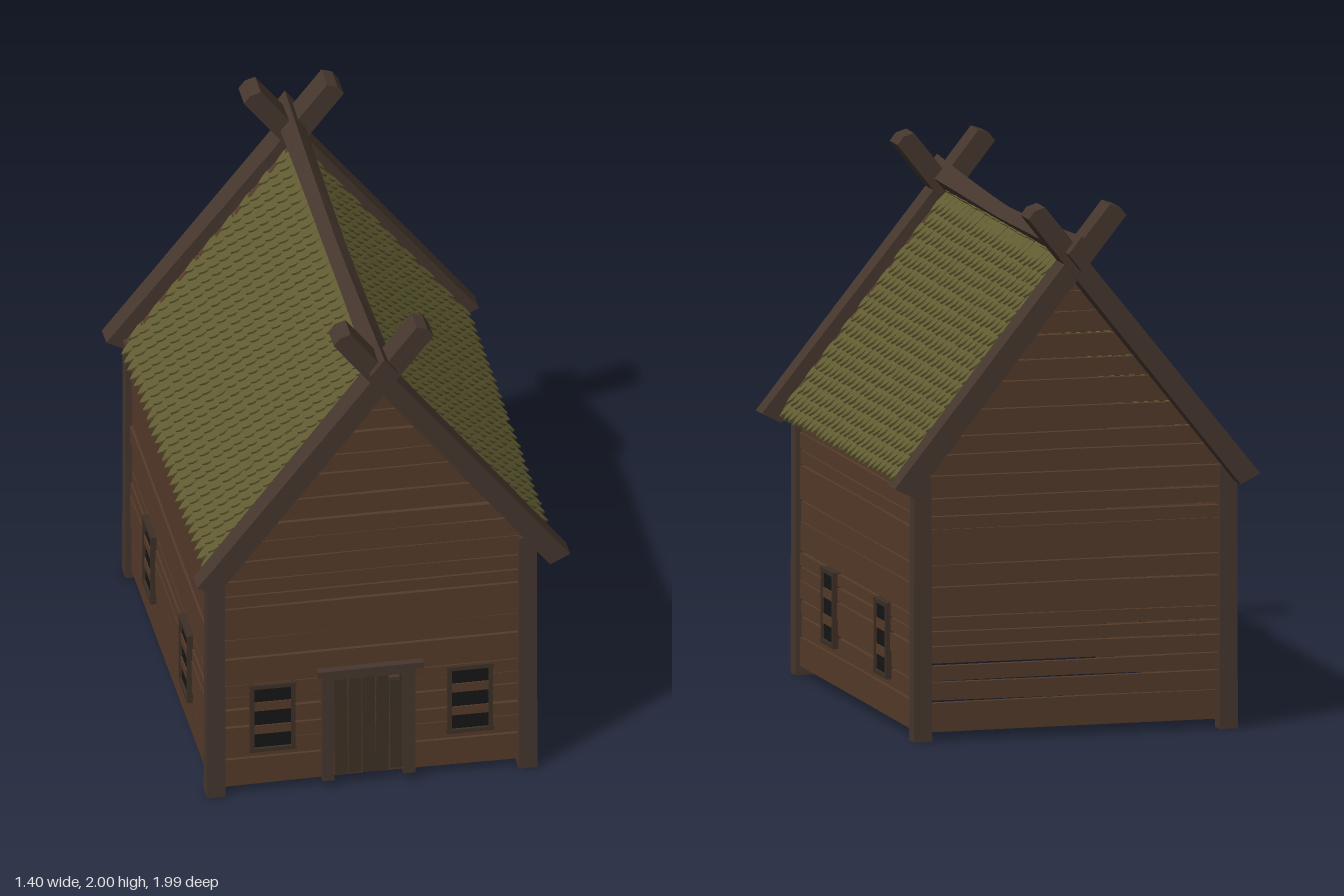
import * as THREE from 'three';
import { mergeGeometries } from 'three/addons/utils/BufferGeometryUtils.js';

const mat = (color) => new THREE.MeshStandardMaterial({ color, flatShading: true, roughness: 1 });
const PLANK = mat(0x553b2a), BEAM = mat(0x46372e), FRAME = mat(0x3d3026), DARK = mat(0x161616), MOSS = mat(0x625c32);

let seed = 7;
const rnd = (a = 1) => {
  seed = (seed * 16807) % 2147483647;
  return (seed / 2147483647 - 0.5) * 2 * a;
};

function add(parent, name, geometry, material, x = 0, y = 0, z = 0) {
  const mesh = new THREE.Mesh(geometry, material);
  mesh.name = name;
  mesh.position.set(x, y, z);
  parent.add(mesh);
  return mesh;
}
const box = (parent, name, material, w, h, d, x, y, z) =>
  add(parent, name, new THREE.BoxGeometry(w, h, d), material, x, y, z);

// Flat outline given thickness, centred on z = 0
function slab(points, depth) {
  const shape = new THREE.Shape(points.map(([x, y]) => new THREE.Vector2(x, y)));
  return new THREE.ExtrudeGeometry(shape, { depth, bevelEnabled: false }).translate(0, 0, -depth / 2);
}

const ROWS = [0.03, 0.145, 0.22, 0.283, 0.355, 0.41, 0.462, 0.577, 0.655, 0.79, 0.842, 0.908, 0.99];
const GABLE = [0.99, 1.07, 1.14, 1.235, 1.332, 1.41, 1.5, 1.585, 1.66, 1.76];

// Rough horizontal boards with uneven gaps; halfWidth(y) trims the ends
function planks(rows, halfWidth, name) {
  const wall = new THREE.Group();
  wall.name = name;
  for (let i = 0; i < rows.length - 1; i++) {
    const y0 = rows[i] + 0.003, y1 = rows[i + 1] - 0.003;
    const a = halfWidth(y0), b = halfWidth(y1);
    const j = () => rnd(0.0035);
    const pts = [[-a, y0 + j()], [0, y0 + j()], [a, y0 + j()], [b, y1 + j()], [0, y1 + j()], [-b, y1 + j()]];
    add(wall, 'plank', slab(pts, 0.024), PLANK, 0, 0, rnd(0.004));
  }
  return wall;
}

// Window facing +z: frame, dark panel and two slats
function makeWindow() {
  const g = new THREE.Group();
  g.name = 'window';
  box(g, 'windowPanel', DARK, 0.15, 0.27, 0.03, 0, 0, 0);
  for (const s of [-1, 1]) {
    box(g, 'windowJamb', FRAME, 0.016, 0.285, 0.045, s * 0.077, 0, 0.002);
    box(g, 'windowRail', FRAME, 0.175, 0.016, 0.046, 0, s * 0.134, 0.002);
    box(g, 'windowSlat', PLANK, 0.15, 0.036, 0.036, 0, s * 0.049, 0.002);
  }
  return g;
}

function makeDoor() {
  const g = new THREE.Group();
  g.name = 'door';
  for (let i = 0; i < 5; i++) {
    const p = box(g, 'doorBoard', FRAME, 0.047, 0.41 + rnd(0.008), 0.025, -0.137 + i * 0.052, 0.25, 0.008 + rnd(0.003));
    p.rotation.z = rnd(0.012);
  }
  box(g, 'doorBacking', DARK, 0.26, 0.4, 0.01, -0.033, 0.25, -0.005);
  box(g, 'doorPost', BEAM, 0.045, 0.45, 0.05, -0.188, 0.255, 0.012);
  box(g, 'doorPost', BEAM, 0.045, 0.45, 0.05, 0.116, 0.255, 0.012);
  box(g, 'doorHeader', BEAM, 0.27, 0.025, 0.04, -0.035, 0.467, 0.01);
  box(g, 'doorLintel', BEAM, 0.4, 0.025, 0.06, -0.03, 0.49, 0.015).rotation.z = 0.008;
  box(g, 'doorHandle', BEAM, 0.04, 0.014, 0.02, 0.06, 0.44, 0.025);
  return g;
}

// One roof slope on +x, made of overlapping pointed shingles
function shingles() {
  const outline = [[-0.029, 0.07], [-0.029, 0.002], [-0.016, -0.026], [0, -0.045], [0.016, -0.026], [0.029, 0.002], [0.029, 0.07]];
  const base = slab(outline, 0.009).rotateX(-0.16);
  const c = 0.623, s = 0.782, pitch = 0.0555, step = 0.0605;
  const basis = new THREE.Matrix4().makeBasis(
    new THREE.Vector3(0, 0, -1), new THREE.Vector3(-c, s, 0), new THREE.Vector3(s, c, 0));
  const parts = [];
  for (let r = 0; r < 18; r++) {
    for (let k = 0; k < 27; k++) {
      const d = 0.045 + r * pitch + rnd(0.004);
      const z = -0.795 + (k + (r % 2) * 0.5) * step + rnd(0.002);
      const tile = base.clone().rotateZ(rnd(0.05)).rotateX(rnd(0.03));
      if (rnd() > 0.94) tile.rotateZ(0.25);
      parts.push(tile.applyMatrix4(basis).translate(0.655 - c * d, 0.965 + s * d, z));
    }
  }
  return mergeGeometries(parts);
}

export function createModel() {
  const house = new THREE.Group();
  house.name = 'timberHouse';

  // Corner posts, slightly tapered
  for (const x of [-0.609, 0.563]) for (const z of [-0.805, 0.822]) {
    const geo = new THREE.BoxGeometry(0.07, 0.985, 0.066, 1, 3, 1);
    const p = geo.attributes.position;
    for (let i = 0; i < p.count; i++) {
      const k = 1 - 0.06 * (p.getY(i) + 0.49);
      p.setX(i, p.getX(i) * k);
      p.setZ(i, p.getZ(i) * k);
    }
    add(house, 'cornerPost', geo, BEAM, x, 0.4925, z);
  }

  // Plank walls
  const wallX = -0.023;
  for (const [z, name] of [[0.822, 'frontWall'], [-0.805, 'backWall']]) {
    const wall = planks(ROWS, () => 0.575, name);
    wall.position.set(wallX, 0, z);
    const gable = planks(GABLE, (y) => (1.79 - y) / 1.256, name + 'Gable');
    gable.position.z = z;
    house.add(wall, gable);
  }
  for (const [x, name] of [[0.565, 'leftWall'], [-0.611, 'rightWall']]) {
    const wall = planks(ROWS, () => 0.805, name);
    wall.position.set(x, 0, 0.008);
    wall.rotation.y = Math.sign(x) * Math.PI / 2;
    house.add(wall);
  }

  // Windows and door
  const place = (obj, x, y, z, turn = 0) => {
    obj.position.set(x, y, z);
    obj.rotation.y = turn;
    house.add(obj);
  };
  for (const x of [-0.395, 0.347]) place(makeWindow(), x, 0.318, 0.828);
  for (const z of [0.366, -0.362]) {
    place(makeWindow(), 0.572, 0.318, z, Math.PI / 2);
    place(makeWindow(), -0.618, 0.318, z, -Math.PI / 2);
  }
  place(makeDoor(), 0, 0, 0.824);

  // Roof slopes
  const slope = shingles();
  add(house, 'leftRoofShingles', slope, MOSS);
  add(house, 'rightRoofShingles', slope, MOSS, 0, 0, 0.02).rotation.y = Math.PI;

  // Crossed gable boards
  for (const [z, depth, name] of [[0.91, 0.108, 'frontGableBoard'], [-0.885, 0.115, 'backGableBoard']]) {
    for (const s of [-1, 1]) {
      const pts = [[-0.7, 0.968], [-0.625, 0.93], [-0.1, 1.592], [0.188, 1.955], [0.165, 1.985], [0.125, 1.998], [-0.1, 1.716]];
      const geo = slab(pts, depth);
      const p = geo.attributes.position;
      // Thin the inner face towards the eaves
      for (let i = 0; i < p.count; i++) {
        if (p.getZ(i) * z < 0 && p.getX(i) < -0.5) p.setZ(i, p.getZ(i) * 0.55);
      }
      if (s > 0) geo.rotateY(Math.PI).scale(1, 1, 1);
      const mesh = add(house, name, geo, BEAM, 0, 0, z + s * 0.003);
      // The half-turned board has its thinned face outside, so shift it inward
      if (s > 0) {
        const q = geo.attributes.position;
        for (let i = 0; i < q.count; i++) {
          if (q.getX(i) > 0.5) q.setZ(i, (q.getZ(i) > 0 ? 1 : -1) * depth / 2 * (q.getZ(i) * z < 0 ? 0.55 : 1));
        }
      }
      mesh.geometry.computeVertexNormals();
    }
  }

  // Sagging ridge beam with a diamond section
  const ridge = new THREE.BoxGeometry(1, 1, 1.99, 1, 1, 10);
  const p = ridge.attributes.position;
  for (let i = 0; i < p.count; i++) {
    const a = p.getX(i), b = p.getY(i), z = p.getZ(i);
    const top = 1.847 + 0.046 * Math.abs(z) ** 1.3, low = 1.772 - 0.012 * z * z;
    p.setXYZ(i, (a - b) * (0.042 + 0.01 * z * z) - 0.003, (top + low) / 2 + (a + b) * (top - low) / 2, z);
  }
  ridge.computeVertexNormals();
  add(house, 'ridgeBeam', ridge, BEAM);

  return house;
}
